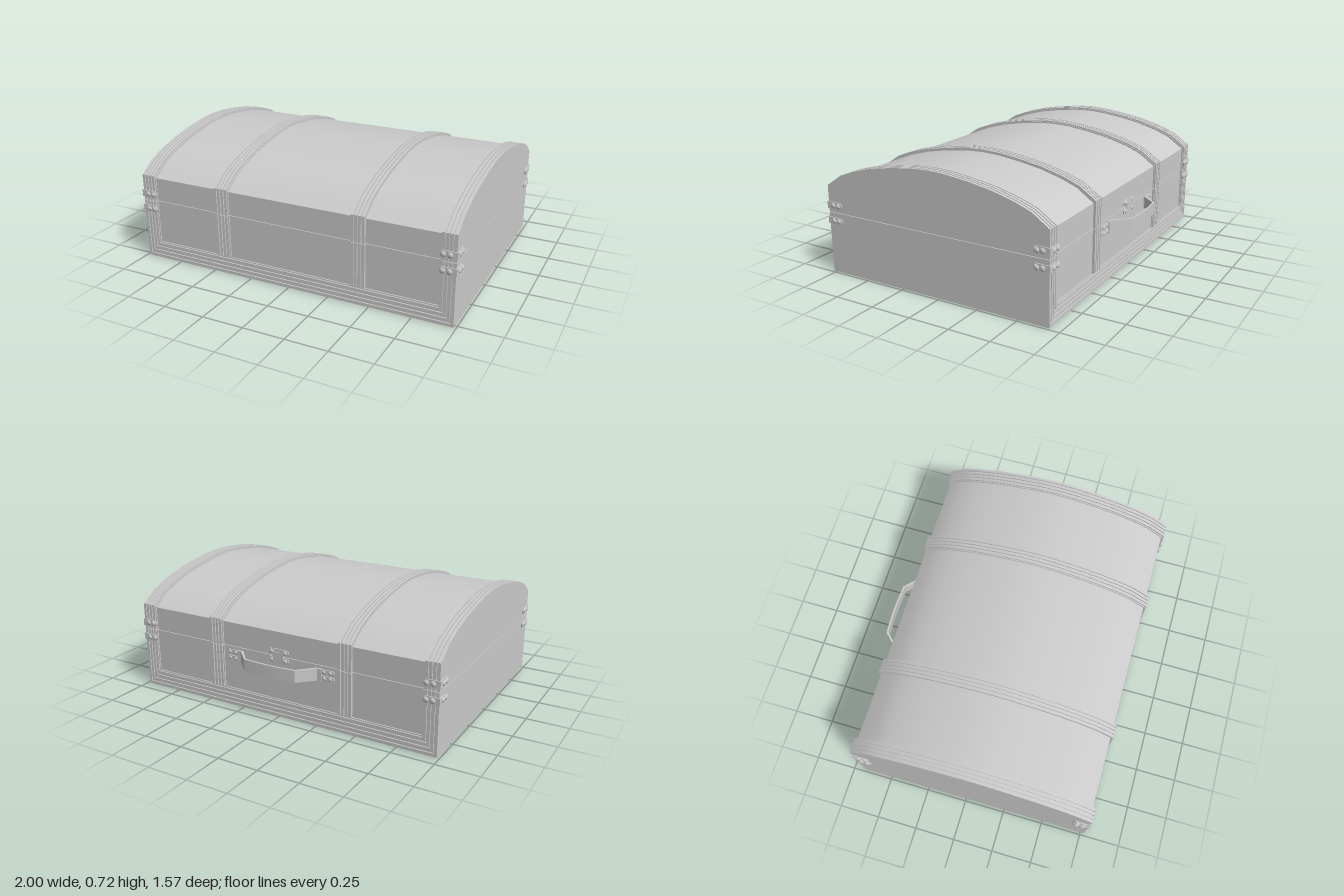
import * as THREE from 'three';
import { toCreasedNormals } from 'three/addons/utils/BufferGeometryUtils.js';

const MID = 0.045, HALF = 0.728, W = 0.985, SEAM = 0.37, GAP = 0.0015;
// Half of the domed lid outline: distance from the middle, height
const DOME = [[HALF, 0.53], [0.625, 0.6], [0.525, 0.638], [0.395, 0.673], [0.255, 0.698], [0.11, 0.716], [0, 0.721]];

export function createModel() {
  const model = new THREE.Group();
  const mat = new THREE.MeshStandardMaterial({ color: 0xcccccc });

  function add(name, geo, parent = model) {
    const mesh = new THREE.Mesh(geo, mat);
    mesh.name = name;
    parent.add(mesh);
    return mesh;
  }
  function box(name, x0, x1, y0, y1, z0, z1, parent) {
    const m = add(name, new THREE.BoxGeometry(x1 - x0, y1 - y0, Math.abs(z1 - z0)), parent);
    m.position.set((x0 + x1) / 2, (y0 + y1) / 2, (z0 + z1) / 2);
    return m;
  }
  // Lid outline from front to back, shrunk inward by d
  function outline(d) {
    const k = (HALF - d) / HALF;
    const front = DOME.map(([u, y]) => [MID + u * k, y - d]);
    const back = DOME.slice(0, -1).reverse().map(([u, y]) => [MID - u * k, y - d]);
    const pts = [...front, ...back];
    return [[pts[0][0], SEAM + GAP], ...pts, [pts[pts.length - 1][0], SEAM + GAP]];
  }
  // Extrude a (z, y) outline across x
  function across(points, x0, x1) {
    const shape = new THREE.Shape(points.map(p => new THREE.Vector2(...p)));
    const geo = new THREE.ExtrudeGeometry(shape, { depth: x1 - x0, bevelEnabled: false });
    geo.rotateY(-Math.PI / 2).translate(x1, 0, 0);
    return toCreasedNormals(geo, 0.35);
  }

  // Case
  const inset = 0.015;
  box('lowerCase', -W, W, 0, SEAM - GAP, MID - HALF + inset, MID + HALF - inset);
  add('domedLid', across(outline(inset), -W, W));

  // A strip over the lid and down the front and back, to height bottom
  function strip(name, x0, x1, d, bottom, parent) {
    add(name, across([...outline(d), ...outline(inset + 0.004).reverse()], x0, x1), parent);
    for (const s of [1, -1])
      box(name + 'Side', x0, x1, bottom, SEAM - GAP, MID + s * (HALF - inset - 0.004), MID + s * (HALF - d), parent);
  }

  // Ribbed bands; the outer pair mitres into the bottom rails
  const BAND = 0.09, RAIL = 0.105, RIBS = 4;
  for (const side of [1, -1]) {
    for (const outer of [true, false]) {
      const band = new THREE.Group();
      band.name = outer ? 'edgeBand' : 'innerBand';
      model.add(band);
      const end = outer ? W : 0.475;
      const span = (a, b) => side > 0 ? [a, b] : [-b, -a];
      strip('bandBase', ...span(end - BAND, end), 0.008, outer ? 0 : RAIL, band);
      for (let i = 0; i < RIBS; i++) {
        const x = end - i * BAND / RIBS;
        strip('rib', ...span(x - 0.016, x), 0, outer ? i * RAIL / RIBS : RAIL, band);
      }
    }
  }

  // Bottom rails, front and back
  for (const s of [1, -1]) {
    const rail = new THREE.Group();
    rail.name = s > 0 ? 'frontRail' : 'backRail';
    model.add(rail);
    const zIn = MID + s * (HALF - inset - 0.004);
    box('railBase', -W, W, 0, RAIL, zIn, MID + s * (HALF - 0.008), rail);
    for (let i = 0; i < RIBS; i++) {
      const y = i * RAIL / RIBS, x = W - i * BAND / RIBS;
      box('railRib', -x, x, y, y + 0.019, zIn, MID + s * (HALF - 0.0005), rail);
    }
  }

  // Pill-shaped plate facing +z, starting at x = 0, with dome rivets
  function plate(name, length, height, rivets, bothRound) {
    const r = height / 2, t = 0.006;
    const g = new THREE.Group();
    g.name = name;
    const sh = new THREE.Shape();
    sh.moveTo(bothRound ? r : 0, -r);
    sh.lineTo(length - r, -r);
    sh.absarc(length - r, 0, r, -Math.PI / 2, Math.PI / 2, false);
    if (bothRound) sh.absarc(r, 0, r, Math.PI / 2, Math.PI * 1.5, false);
    else sh.lineTo(0, r);
    add('plate', new THREE.ExtrudeGeometry(sh, { depth: t, bevelEnabled: false, curveSegments: 8 }), g);
    for (const x of rivets) {
      const dome = new THREE.SphereGeometry(r * 0.8, 12, 5, 0, Math.PI * 2, 0, Math.PI / 2);
      dome.rotateX(Math.PI / 2).scale(1, 1, 0.6);
      add('rivet', dome, g).position.set(x, 0, t - 0.001);
    }
    model.add(g);
    return g;
  }

  // Corner fittings, above and below the seam
  for (const sx of [1, -1]) for (const sz of [1, -1]) for (const y of [0.413, 0.32]) {
    const zFace = MID + sz * HALF;
    // Plate on the front or back face, running inward from the corner
    const onFace = plate('cornerPlate', 0.095, 0.042, [0.035, 0.073]);
    onFace.position.set(sx * W, y, zFace);
    if (sz > 0) {
      if (sx > 0) { onFace.rotation.z = Math.PI; }
    } else {
      onFace.rotation.y = Math.PI;
      if (sx < 0) onFace.rotation.set(Math.PI, 0, 0);
    }
    // Plate on the end face
    const onEnd = plate('cornerPlate', 0.1, 0.042, [0.037, 0.073]);
    onEnd.position.set(sx * W, y, zFace);
    onEnd.rotation.set(0, sx * Math.PI / 2, 0);
    if (sx * sz < 0) onEnd.rotateZ(Math.PI);
    // Corner bead joining the two plates
    box('cornerBead', sx * W - 0.006, sx * W + 0.006, y - 0.021, y + 0.021, zFace - 0.006, zFace + 0.006);
  }

  // Handle strap bent out from the back
  const back = MID - HALF;
  const path = [[-0.27, back + 0.01], [-0.255, back], [-0.17, -0.769], [-0.08, -0.776], [0, -0.778],
    [0.08, -0.776], [0.17, -0.769], [0.255, back], [0.27, back + 0.01]];
  const inner = path.map(([x, z]) => [x * 0.965, z + 0.011]).reverse();
  const strap = new THREE.Shape([...path, ...inner].map(([x, z]) => new THREE.Vector2(x, -z)));
  const strapGeo = new THREE.ExtrudeGeometry(strap, { depth: 0.072, bevelEnabled: false });
  strapGeo.rotateX(-Math.PI / 2);
  add('handle', toCreasedNormals(strapGeo, 0.3)).position.y = 0.28;

  // Handle mounts and central clasp on the back panel
  const panel = back + inset;
  for (const s of [1, -1]) {
    box('handleMount', s * 0.265 - 0.02, s * 0.265 + 0.02, 0.28, 0.352, panel - 0.012, panel + 0.005);
    for (const y of [0.298, 0.335]) {
      const p = plate('handleMountPlate', 0.1, 0.03, [0.035, 0.075]);
      p.position.set(s * 0.265, y, panel);
      if (s > 0) p.rotation.x = Math.PI;
      else p.rotation.y = Math.PI;
    }
  }
  for (const y of [0.395, 0.345]) {
    const p = plate('claspPlate', 0.14, 0.036, [0.025, 0.115], true);
    p.position.set(0.07, y, panel);
    p.rotation.y = Math.PI;
  }
  box('claspPin', -0.035, 0.035, 0.345, 0.395, panel - 0.01, panel + 0.002);

  return model;
}
